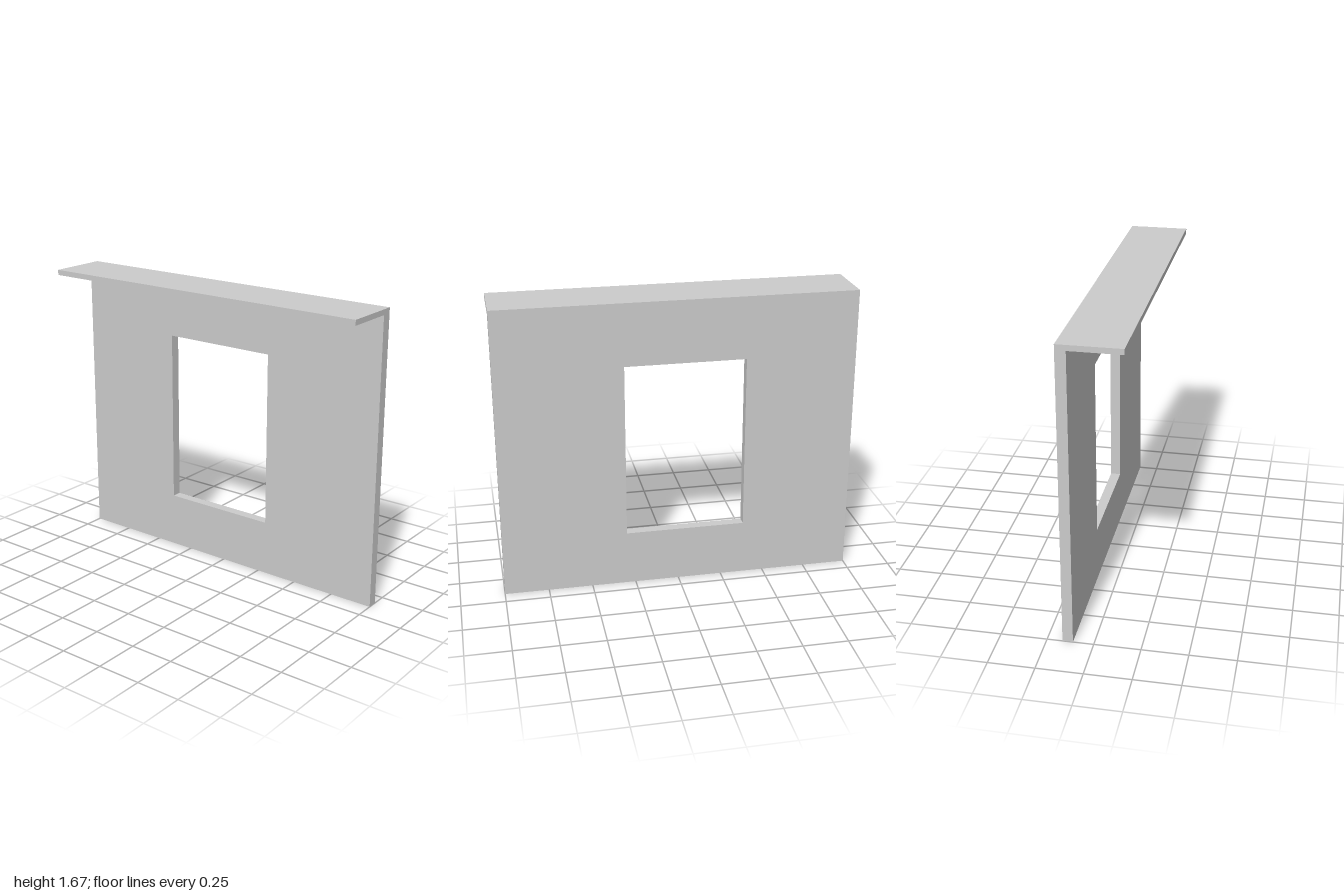
import * as THREE from 'three';

const BACK = -0.167, WALL_FRONT = -0.111, FRONT = 0.167;
const TOP = 1.667, LEDGE_BOTTOM = 1.637;

// Corner points of an axis-aligned rectangle
function rectPoints(x0, y0, x1, y1) {
  return [[x0, y0], [x1, y0], [x1, y1], [x0, y1]].map(([x, y]) => new THREE.Vector2(x, y));
}

export function createModel() {
  const group = new THREE.Group();
  group.name = 'wallWithOpening';
  const material = new THREE.MeshStandardMaterial({ color: 0xcccccc });

  // Upright wall panel with a window opening slightly off centre
  const outline = new THREE.Shape(rectPoints(-1, 0, 1, TOP));
  outline.holes.push(new THREE.Path(rectPoints(-0.378, 0.315, 0.297, 1.314).reverse()));
  const wall = new THREE.Mesh(
    new THREE.ExtrudeGeometry(outline, { depth: WALL_FRONT - BACK, bevelEnabled: false }),
    material
  );
  wall.name = 'wall';
  wall.position.z = BACK;
  group.add(wall);

  // Thin ledge projecting forward, flush with the top of the wall
  const ledge = new THREE.Mesh(
    new THREE.BoxGeometry(2, TOP - LEDGE_BOTTOM, FRONT - WALL_FRONT),
    material
  );
  ledge.name = 'topLedge';
  ledge.position.set(0, (TOP + LEDGE_BOTTOM) / 2, (FRONT + WALL_FRONT) / 2);
  group.add(ledge);

  return group;
}
